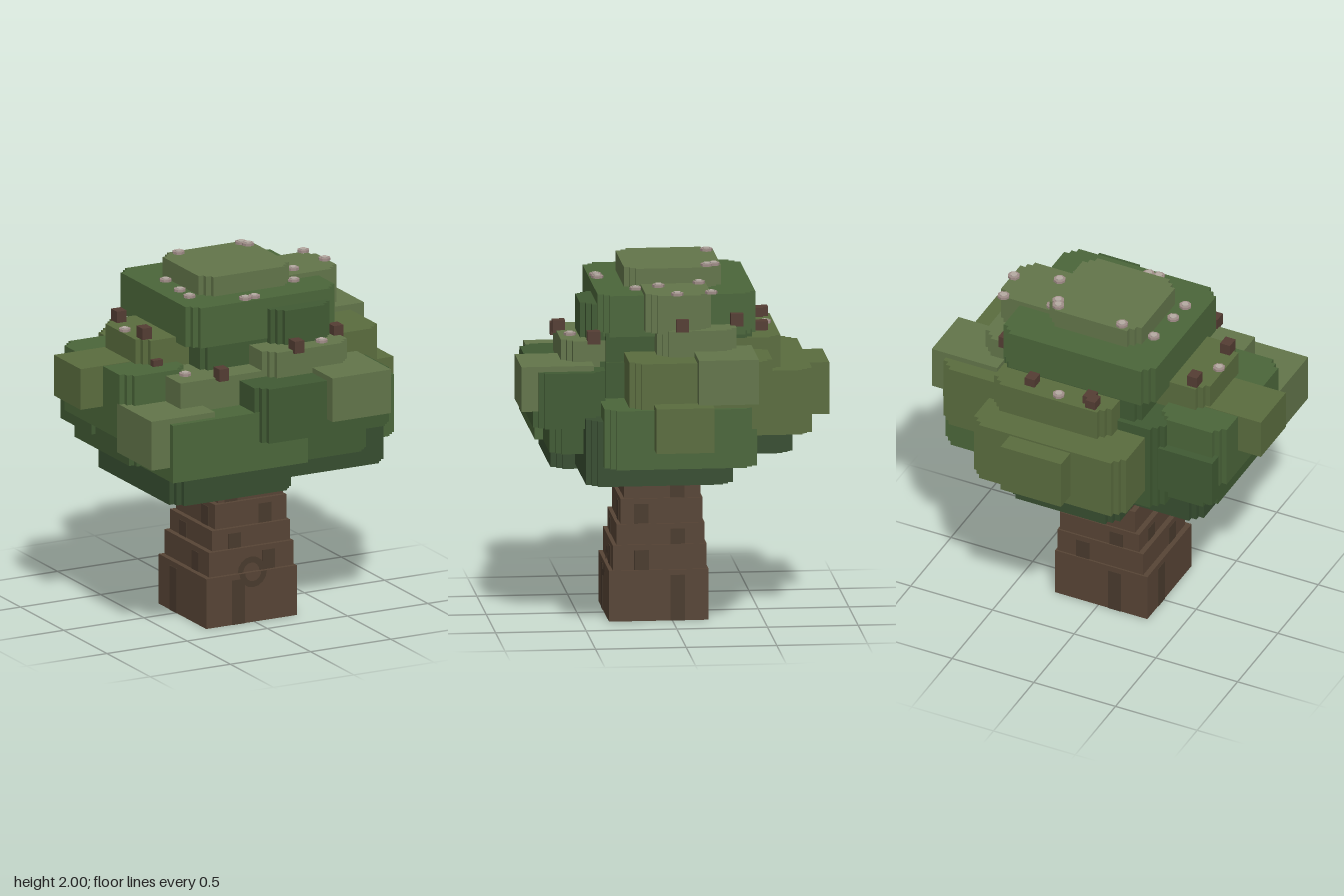
import * as THREE from 'three';

const material = (color) => new THREE.MeshStandardMaterial({ color, flatShading: true });
const mats = {
  deep: material(0x374d30), dark: material(0x405a33), mid: material(0x4b663a),
  olive: material(0x5a6c3e), light: material(0x62754a),
  bark: material(0x574435), barkDark: material(0x493a2d), twig: material(0x543d33),
  petal: material(0xa08d88), heart: material(0xb5aaa2),
};

function add(parent, name, geometry, mat, x = 0, y = 0, z = 0) {
  const mesh = new THREE.Mesh(geometry, mats[mat]);
  mesh.name = name;
  mesh.position.set(x, y, z);
  parent.add(mesh);
}

// Upright block whose four vertical corners are cut in small stairs.
function block(parent, name, mat, x0, x1, y0, y1, z0, z1, steps = 0) {
  const w = (x1 - x0) / 2, d = (z1 - z0) / 2, s = 0.03;
  const corner = [];
  for (let i = 0; i <= steps; i++) {
    corner.push([w - i * s, d - (steps - i) * s]);
    if (i < steps) corner.push([w - (i + 1) * s, d - (steps - i) * s]);
  }
  const back = [...corner].reverse();
  const points = [
    ...corner, ...back.map(([x, y]) => [-x, y]),
    ...corner.map(([x, y]) => [-x, -y]), ...back.map(([x, y]) => [x, -y]),
  ].map(([x, y]) => new THREE.Vector2(x, y));
  const geometry = new THREE.ExtrudeGeometry(new THREE.Shape(points), { depth: y1 - y0, bevelEnabled: false });
  geometry.rotateX(-Math.PI / 2);
  add(parent, name, geometry, mat, (x0 + x1) / 2, y0, (z0 + z1) / 2);
}

// Leaf lobe growing out of one side: span a..b along that side, outer face at reach.
function lobe(parent, side, mat, a, b, reach, y0, y1, steps) {
  const inner = reach - 0.4;
  const [x0, x1, z0, z1] = {
    front: [a, b, inner, reach], back: [a, b, -reach, -inner],
    left: [inner, reach, a, b], right: [-reach, -inner, a, b],
  }[side];
  block(parent, side + (steps ? 'Leaves' : 'Tuft'), mat, x0, x1, y0, y1, z0, z1, steps);
}

function buildTrunk() {
  const trunk = new THREE.Group();
  trunk.name = 'trunk';
  // Tapering tiers, each with a dark bark streak on the four faces
  const levels = [0, 0.285, 0.425, 0.54, 0.68, 0.96];
  for (let i = 0; i < 5; i++) {
    const x0 = -0.3 + 0.03 * i, x1 = 0.265 - 0.01 * i;
    const z0 = -0.2 + 0.01 * i, z1 = 0.35 - 0.022 * i;
    const y0 = levels[i], y1 = levels[i + 1], e = 0.003;
    block(trunk, 'trunkTier', 'bark', x0, x1, y0, y1, z0, z1);
    const s = i % 2 ? 0.06 : -0.14, top = y1 - 0.03;
    block(trunk, 'barkStreak', 'barkDark', s, s + 0.08, y0, top, z0 - e, z1 + e);
    block(trunk, 'barkStreak', 'barkDark', x0 - e, x1 + e, y0, top, s + 0.07, s + 0.15);
  }
  block(trunk, 'branchStub', 'bark', 0.1, 0.24, 0.77, 0.9, -0.03, 0.16);

  // Knot ring, crossing the lowest ledge
  const knot = (start, z) => add(trunk, 'knotRing',
    new THREE.RingGeometry(0.05, 0.085, 8, 1, start, Math.PI), 'barkDark', -0.01, 0.285, z);
  knot(0, 0.333);
  knot(Math.PI, 0.355);
  return trunk;
}

function buildCanopy() {
  const canopy = new THREE.Group();
  canopy.name = 'canopy';
  // Broad layers from the underside to the crown
  block(canopy, 'underside', 'deep', -0.66, 0.1, 0.827, 1.05, -0.29, 0.65, 2);
  block(canopy, 'underside', 'deep', 0.02, 0.745, 0.855, 1.22, -0.29, 0.52, 2);
  block(canopy, 'underside', 'deep', -0.33, 0.34, 0.94, 1.2, -0.66, 0, 2);
  block(canopy, 'core', 'dark', -0.5, 0.5, 0.97, 1.5, -0.45, 0.45, 2);
  block(canopy, 'middleCore', 'dark', -0.36, 0.48, 1.45, 1.66, -0.42, 0.42, 1);
  block(canopy, 'upperLeaves', 'mid', -0.44, 0.49, 1.64, 1.87, -0.44, 0.43, 2);
  block(canopy, 'crown', 'light', -0.27, 0.295, 1.84, 1.98, -0.27, 0.265, 2);

  // Lobes with stepped corners: colour, span, reach, bottom, top
  const leaves = {
    front: [
      ['dark', 0, 0.54, 0.7, 1, 1.25], ['dark', -0.21, 0.63, 0.8, 1.16, 1.47],
      ['light', -0.07, 0.46, 0.63, 1.45, 1.615], ['dark', 0.04, 0.41, 0.52, 1.6, 1.81],
    ],
    left: [
      ['mid', -0.41, 0.43, 0.86, 0.97, 1.3], ['olive', -0.5, 0.29, 0.83, 1.18, 1.555],
      ['light', -0.32, 0.12, 0.66, 1.5, 1.7], ['light', -0.18, 0.18, 0.635, 1.68, 1.895],
    ],
    right: [
      ['dark', -0.35, 0.4, 0.775, 1, 1.3], ['mid', -0.36, 0.4, 0.835, 1.16, 1.53],
      ['olive', -0.21, 0.26, 0.66, 1.5, 1.67],
    ],
    back: [['olive', -0.41, 0.52, 0.75, 1.08, 1.44], ['olive', -0.24, 0.48, 0.58, 1.4, 1.62]],
  };
  // Square tufts, given the same way
  const tufts = {
    front: [
      ['mid', -0.72, 0.12, 0.745, 1, 1.33], ['light', 0.21, 0.575, 0.865, 1.25, 1.5],
      ['light', -0.835, -0.44, 0.71, 1.08, 1.36], ['light', -0.58, 0, 0.57, 1.3, 1.505],
    ],
    left: [['olive', -0.16, 0.16, 0.97, 1.08, 1.33], ['light', -0.41, -0.08, 0.915, 1.335, 1.585]],
    right: [['olive', -0.16, 0.15, 0.975, 1.3, 1.533], ['dark', -0.41, -0.05, 0.8, 1.08, 1.36]],
    back: [['olive', -0.1, 0.27, 0.865, 1.14, 1.43]],
  };
  for (const side of ['front', 'left', 'right', 'back']) {
    leaves[side].forEach((row) => lobe(canopy, side, ...row, 2));
    tufts[side].forEach((row) => lobe(canopy, side, ...row, 0));
  }
  return canopy;
}

function buildDetails() {
  const details = new THREE.Group();
  details.name = 'details';

  // Small flat blossoms resting on the leaf tops
  const blossoms = (y, spots) => spots.forEach(([x, z]) => {
    add(details, 'blossom', new THREE.CylinderGeometry(0.034, 0.034, 0.014, 8), 'petal', x, y + 0.007, z);
    add(details, 'blossomHeart', new THREE.CylinderGeometry(0.02, 0.02, 0.02, 8), 'heart', x, y + 0.01, z);
  });
  blossoms(1.98, [[-0.16, -0.23], [0.23, -0.23], [0.25, -0.19]]);
  blossoms(1.87, [[-0.3, -0.12], [-0.32, 0.08], [-0.33, 0.21], [-0.08, 0.39], [-0.02, 0.385], [0.32, 0.21]]);
  blossoms(1.895, [[0.38, 0.09], [0.59, -0.18], [0.62, 0.01], [0.31, -0.14]]);
  blossoms(1.62, [[0.08, -0.53], [0.3, 0.57]]);
  blossoms(1.67, [[-0.63, 0.02]]);
  blossoms(1.505, [[-0.48, 0.44]]);

  // Square twig ends poking out
  const twigs = (y, spots) => spots.forEach(([x, z]) =>
    add(details, 'twig', new THREE.BoxGeometry(0.06, 0.07, 0.07), 'twig', x, y, z));
  twigs(1.635, [[0.12, 0.615], [0.45, 0.455], [-0.13, -0.53], [-0.1, -0.5], [0.26, -0.49]]);
  twigs(1.53, [[-0.33, 0.58], [-0.57, 0.26]]);
  twigs(1.7, [[-0.6, 0.19], [-0.57, -0.16]]);
  twigs(1.73, [[0.635, -0.015], [0.5, -0.33]]);
  return details;
}

export function createModel() {
  const tree = new THREE.Group();
  tree.name = 'blockTree';
  tree.add(buildTrunk(), buildCanopy(), buildDetails());
  return tree;
}
